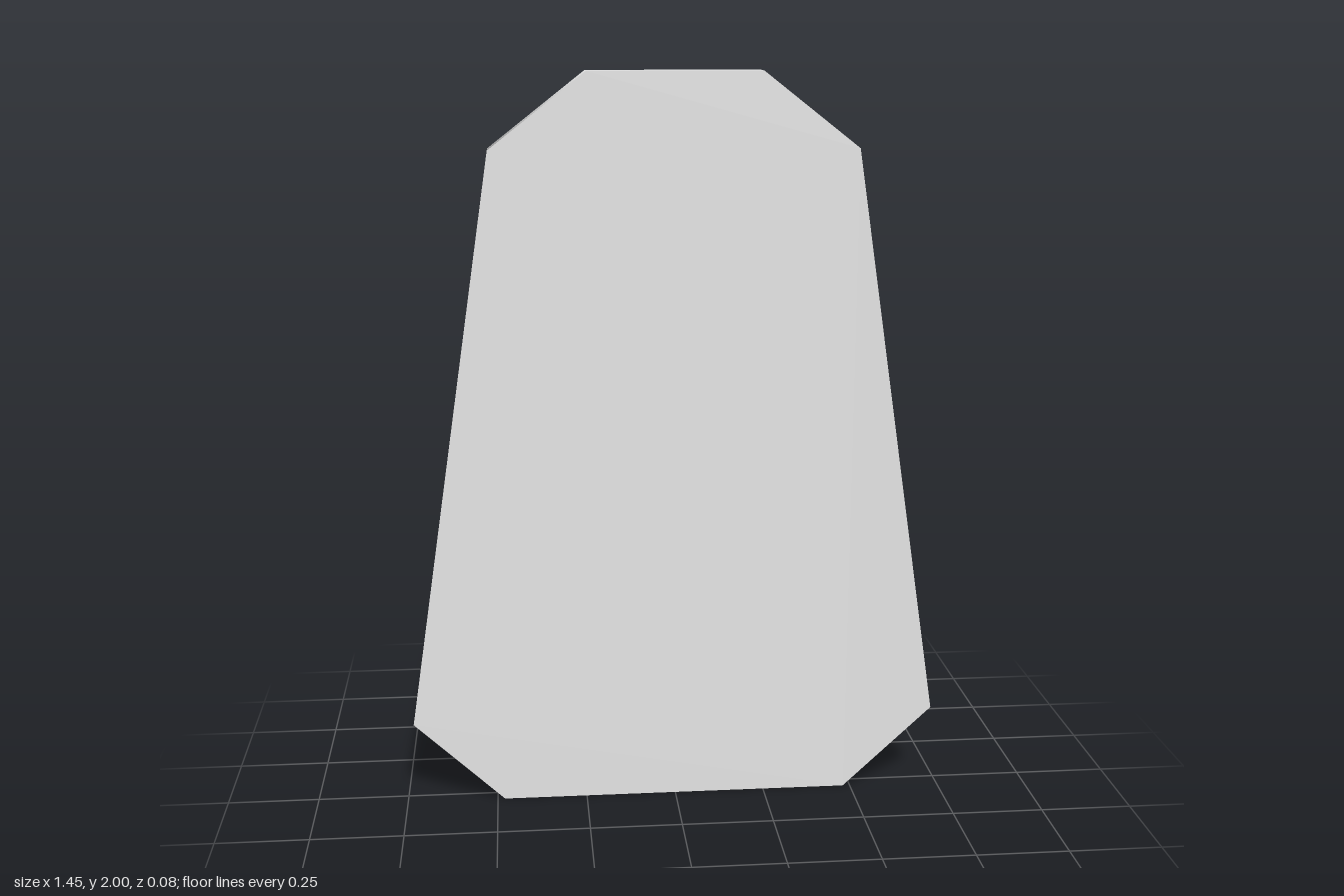
import * as THREE from 'three';

const HALF_DEPTH = 0.042;

export function createModel() {
  const group = new THREE.Group();
  group.name = 'standingStone';

  const paleStone = new THREE.MeshStandardMaterial({ color: 0xe5e5e5 });
  paleStone.name = 'pale stone';
  const greyStone = new THREE.MeshStandardMaterial({ color: 0xadadad });
  greyStone.name = 'grey stone';

  // Half outline from the foot to the crown, mirrored across x = 0
  const half = [[0.48, 0], [0.727, 0.23], [0.487, 1.8], [0.23, 2]];
  const mirrored = half.map(([x, y]) => [-x, y]).reverse();
  const points = [...half, ...mirrored];
  const outline = new THREE.Shape(points.map(([x, y]) => new THREE.Vector2(x, y)));

  // Flat faces: pale at the front, grey at the back
  const addFace = (name, material, turn) => {
    const face = new THREE.ShapeGeometry(outline).rotateY(turn);
    face.translate(0, 0, HALF_DEPTH * Math.cos(turn));
    const mesh = new THREE.Mesh(face, material);
    mesh.name = name;
    group.add(mesh);
  };
  addFace('frontFace', paleStone, 0);
  addFace('backFace', greyStone, Math.PI);

  // Rim: one smooth band around the outline, pale over the crown
  const positions = points.flatMap(([x, y]) => [x, y, HALF_DEPTH, x, y, -HALF_DEPTH]);
  const indices = [];
  const rim = new THREE.BufferGeometry();
  points.forEach((_, i) => {
    const a = 2 * i;
    const b = 2 * ((i + 1) % points.length);
    rim.addGroup(indices.length, 6, i >= 2 && i <= 4 ? 0 : 1);
    indices.push(a, a + 1, b + 1, a, b + 1, b);
  });
  rim.setAttribute('position', new THREE.Float32BufferAttribute(positions, 3));
  rim.setIndex(indices);
  rim.computeVertexNormals();
  const rimMesh = new THREE.Mesh(rim, [paleStone, greyStone]);
  rimMesh.name = 'rim';
  group.add(rimMesh);

  return group;
}
